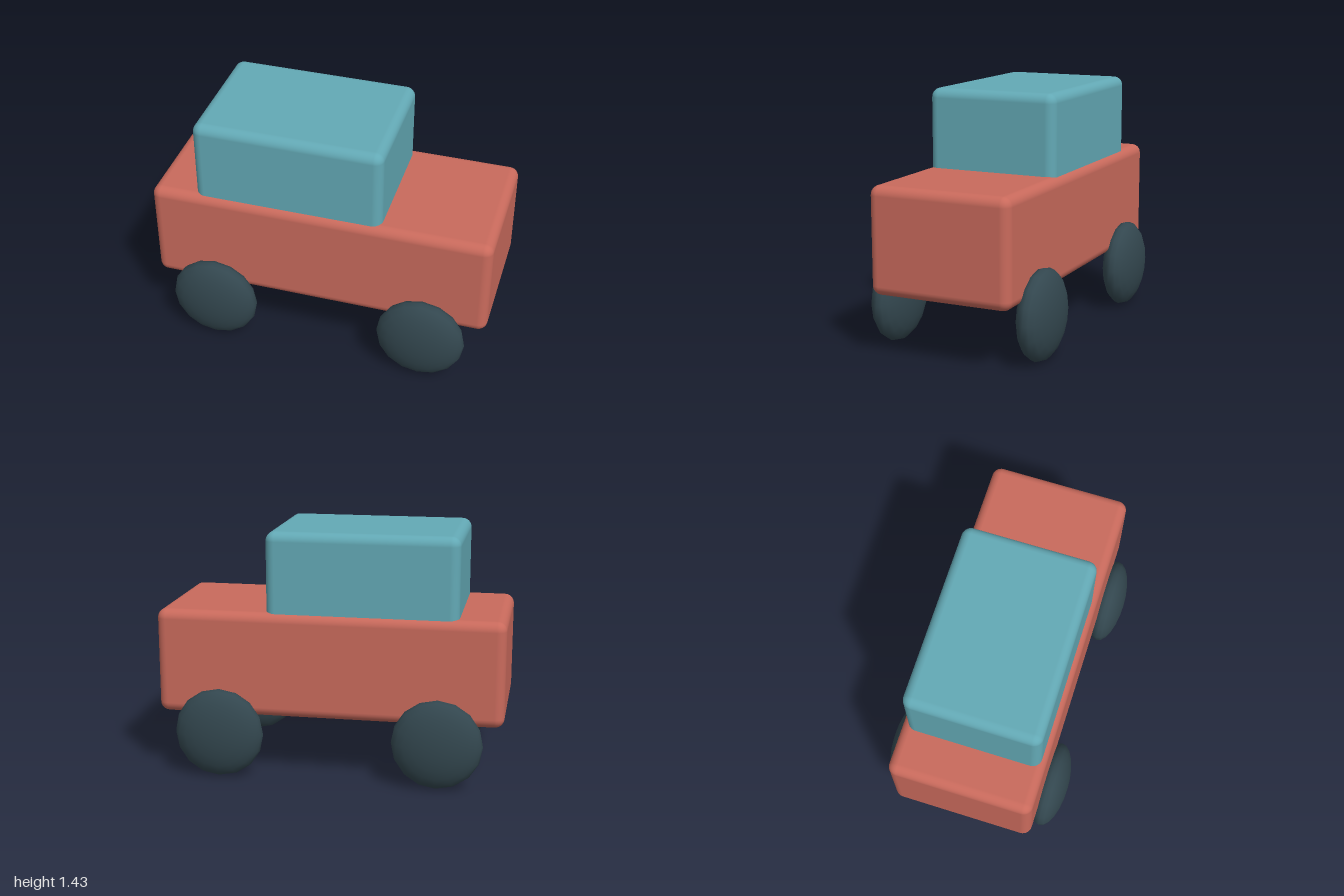
import * as THREE from 'three';
import { RoundedBoxGeometry } from 'three/addons/geometries/RoundedBoxGeometry.js';

function material(name, color) {
  const m = new THREE.MeshStandardMaterial({ color });
  m.name = name;
  return m;
}

export function createModel() {
  const car = new THREE.Group();
  car.name = 'toyCar';

  const red = material('softRed', 0xc96a5c);
  const teal = material('teal', 0x63a9b5);
  const dark = material('darkSlate', 0x33474f);

  function add(name, geometry, mat, x, y, z) {
    const mesh = new THREE.Mesh(geometry, mat);
    mesh.name = name;
    mesh.position.set(x, y, z);
    car.add(mesh);
  }

  // Rounded body, with the cabin sunk slightly into its top
  add('body', new RoundedBoxGeometry(2, 0.61, 0.84, 4, 0.055), red, 0, 0.665, 0);
  add('cabin', new RoundedBoxGeometry(1.1, 0.56, 0.78, 4, 0.055), teal, -0.185, 1.15, 0);

  // Four flattened ball wheels, their poles pointing sideways
  const wheel = new THREE.SphereGeometry(0.26, 16, 12);
  wheel.rotateX(Math.PI / 2);
  wheel.scale(1, 1, 0.105 / 0.26);
  for (const [end, x] of [['left', 0.63], ['right', -0.63]]) {
    for (const [side, z] of [['Front', 0.447], ['Back', -0.447]]) {
      add(`${end}${side}Wheel`, wheel, dark, x, 0.264, z);
    }
  }

  return car;
}
